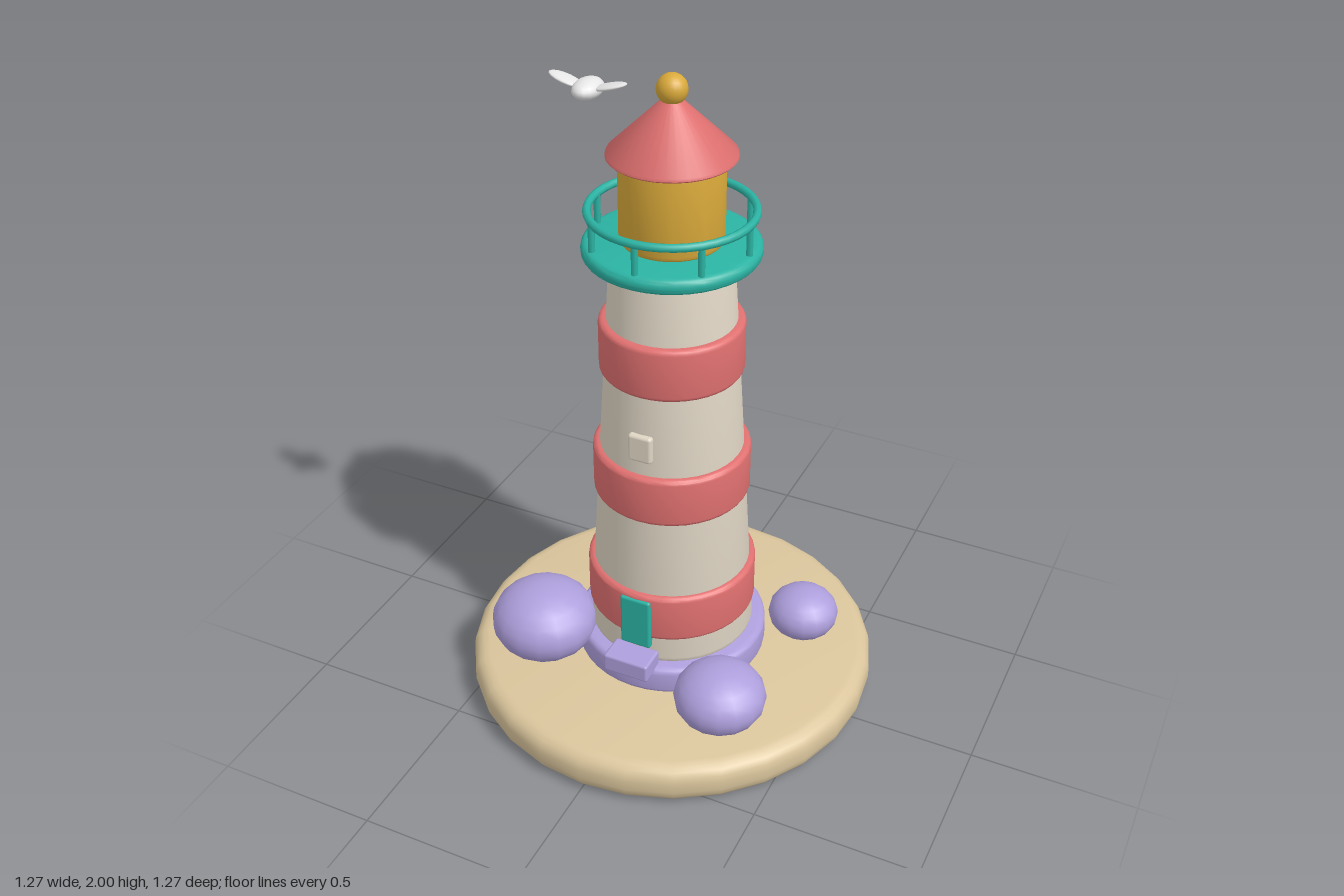
import * as THREE from 'three';
import { toCreasedNormals } from 'three/addons/utils/BufferGeometryUtils.js';
import { RoundedBoxGeometry } from 'three/addons/geometries/RoundedBoxGeometry.js';

const material = (name, color) => {
  const m = new THREE.MeshStandardMaterial({ color });
  m.name = name;
  return m;
};

// Turned drum from y0 to y1 with rounded rims; radius may taper from r0 to r1
function drum(r0, r1, y0, y1, bevel, segments = 40) {
  const points = [new THREE.Vector2(0, y0)];
  const steps = 4;
  for (let i = 0; i <= steps; i++) {
    const a = -Math.PI / 2 + (i / steps) * Math.PI / 2;
    points.push(new THREE.Vector2(r0 - bevel + bevel * Math.cos(a), y0 + bevel + bevel * Math.sin(a)));
  }
  for (let i = 0; i <= steps; i++) {
    const a = (i / steps) * Math.PI / 2;
    points.push(new THREE.Vector2(r1 - bevel + bevel * Math.cos(a), y1 - bevel + bevel * Math.sin(a)));
  }
  points.push(new THREE.Vector2(0, y1));
  return toCreasedNormals(new THREE.LatheGeometry(points, segments), 0.5);
}

export function createModel() {
  const model = new THREE.Group();
  model.name = 'lighthouse';

  const sand = material('sand', 0xdac59c);
  const cream = material('cream', 0xe0d6c5);
  const red = material('coral red', 0xe07070);
  const teal = material('teal', 0x2bb3a3);
  const gold = material('gold', 0xd9a93a);
  const lilac = material('lilac', 0xae9fdc);
  const white = material('gull white', 0xe6e6e6);

  const add = (name, geometry, mat, x = 0, y = 0, z = 0, parent = model) => {
    const mesh = new THREE.Mesh(geometry, mat);
    mesh.name = name;
    mesh.position.set(x, y, z);
    parent.add(mesh);
    return mesh;
  };

  // Ground, footing and step
  add('island', drum(0.633, 0.633, 0, 0.13, 0.05, 28), sand);
  add('footing', drum(0.295, 0.295, 0.12, 0.215, 0.02), lilac);
  add('step', new RoundedBoxGeometry(0.145, 0.06, 0.09, 2, 0.008), lilac, 0, 0.23, 0.288);

  // Tower with three painted collars
  add('tower', drum(0.253, 0.177, 0.2, 1.475, 0.03), cream);
  [[0.257, 0.3, 0.46], [0.234, 0.71, 0.87], [0.21, 1.12, 1.285]].forEach(([r, y0, y1]) =>
    add('band', drum(r, r, y0, y1, 0.015), red));

  // Door and the front and back windows
  add('door', new RoundedBoxGeometry(0.098, 0.175, 0.04, 2, 0.008), teal, 0, 0.357, 0.243);
  for (const side of [1, -1]) {
    add('window', new RoundedBoxGeometry(0.074, 0.088, 0.04, 2, 0.01), cream, 0, 0.958, side * 0.2);
  }

  // Gallery floor, railing and posts
  add('galleryFloor', drum(0.252, 0.252, 1.478, 1.525, 0.02), teal);
  const rail = add('galleryRail', new THREE.TorusGeometry(0.232, 0.012, 8, 40), teal, 0, 1.613, 0);
  rail.rotation.x = Math.PI / 2;
  const postGeometry = new THREE.CylinderGeometry(0.01, 0.01, 0.1, 8);
  for (let i = 0; i < 8; i++) {
    const a = (i / 8) * Math.PI * 2;
    add('railPost', postGeometry, teal, 0.23 * Math.sin(a), 1.563, 0.23 * Math.cos(a));
  }

  // Lantern room, conical roof and finial
  add('lantern', drum(0.147, 0.147, 1.522, 1.775, 0.015), gold);
  const roof = [[0, 1.77], [0.176, 1.77], [0.18, 1.774], [0.178, 1.782], [0, 1.955]]
    .map(([x, y]) => new THREE.Vector2(x, y));
  add('roof', toCreasedNormals(new THREE.LatheGeometry(roof, 36), 0.6), red);
  add('finial', new THREE.SphereGeometry(0.043, 20, 14), gold, 0, 1.957, 0);

  // Flattened bushes: x, y, z, radius, half height
  [
    [-0.335, 0.23, 0.224, 0.165, 0.12],
    [0.298, 0.215, 0.298, 0.139, 0.1],
    [-0.224, 0.208, -0.336, 0.129, 0.093],
    [0.373, 0.198, -0.187, 0.11, 0.081],
  ].forEach(([x, y, z, r, h]) => {
    add('bush', new THREE.SphereGeometry(1, 16, 12), lilac, x, y, z).scale.set(r, h, r);
  });

  // Gull with raised wings
  const gull = new THREE.Group();
  gull.name = 'gull';
  gull.position.set(-0.187, 1.967, 0.112);
  model.add(gull);
  const ball = new THREE.SphereGeometry(1, 16, 12);
  add('gullBody', ball, white, 0, 0, 0, gull).scale.set(0.039, 0.027, 0.057);
  for (const side of [1, -1]) {
    const wing = add('gullWing', ball, white, side * 0.063, 0.015, 0, gull);
    wing.scale.set(0.052, 0.008, 0.026);
    wing.rotation.z = side * 0.27;
  }

  return model;
}
